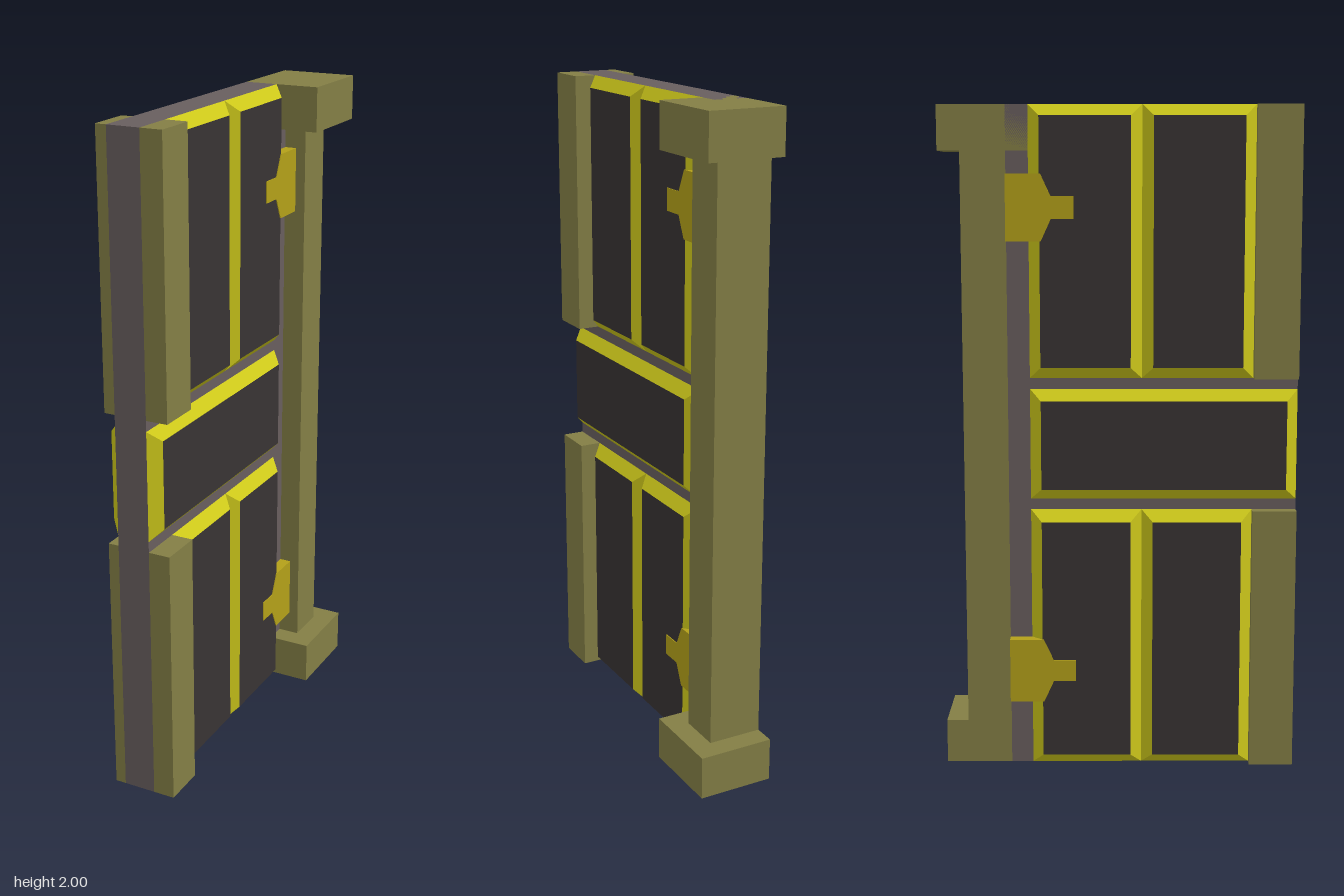
import * as THREE from 'three';

const mat = (color) => new THREE.MeshStandardMaterial({ color, flatShading: true });

export function createModel() {
  const model = new THREE.Group();
  const olive = mat(0x837e45), slate = mat(0x685e5e), dark = mat(0x383333);
  const yellow = mat(0xccc71a), gold = mat(0xb3a019);

  // Box given by its min and max corners
  function box(name, material, [x0, y0, z0], [x1, y1, z1]) {
    const mesh = new THREE.Mesh(new THREE.BoxGeometry(x1 - x0, y1 - y0, z1 - z0), material);
    mesh.position.set((x0 + x1) / 2, (y0 + y1) / 2, (z0 + z1) / 2);
    mesh.name = name;
    model.add(mesh);
  }

  // Raised panel facing local +z: four sloped rim faces around a flat face
  const B = 0.0333;
  function raisedPanel(w, h) {
    const group = new THREE.Group();
    group.name = 'raisedPanel';
    const ring = (inset, z) => [[-1, -1], [1, -1], [1, 1], [-1, 1]]
      .map(([sx, sy]) => [sx * (w / 2 - inset), sy * (h / 2 - inset), z]);
    const outer = ring(0, 0), inner = ring(B, B);
    const pos = [];
    for (let i = 0; i < 4; i++) {
      const j = (i + 1) % 4;
      pos.push(...outer[i], ...outer[j], ...inner[j], ...outer[i], ...inner[j], ...inner[i]);
    }
    const geo = new THREE.BufferGeometry();
    geo.setAttribute('position', new THREE.Float32BufferAttribute(pos, 3));
    geo.computeVertexNormals();
    const rim = new THREE.Mesh(geo, yellow);
    rim.name = 'panelRim';
    const face = new THREE.Mesh(new THREE.PlaneGeometry(w - 2 * B, h - 2 * B), dark);
    face.position.z = B;
    face.name = 'panelFace';
    group.add(rim, face);
    return group;
  }

  // Door slab
  box('doorSlab', slate, [-0.1, 0, -0.333], [0, 2, 0.533]);

  // Hinge post with its end caps
  box('hingePost', olive, [-0.1, 0.133, -0.467], [0.067, 1.867, -0.333]);
  box('postFoot', olive, [-0.1, 0, -0.533], [0.133, 0.133, -0.267]);
  box('postCap', olive, [-0.1, 1.867, -0.533], [0.133, 2, -0.267]);

  // Edge strips on the opening side, above and below the middle panel
  for (const [y0, y1] of [[0, 0.8], [1.2, 2]]) {
    box('edgeStripLeft', olive, [0, y0, 0.4], [0.067, y1, 0.533]);
    box('edgeStripRight', olive, [-0.133, y0, 0.4], [-0.1, y1, 0.533]);
  }

  // Panels as [z0, z1, y0, y1]
  const panels = [[-0.267, 0.533, 0.833, 1.167]];
  for (const y of [0, 1.2]) panels.push([-0.267, 0.067, y, y + 0.8], [0.067, 0.4, y, y + 0.8]);

  // Hinge plate outline as [z, half height]
  const outline = [[-0.333, 0.098], [-0.23, 0.098], [-0.2, 0.033], [-0.133, 0.033]];

  for (const side of [1, -1]) {
    const x = side > 0 ? 0 : -0.1;
    for (const [z0, z1, y0, y1] of panels) {
      const panel = raisedPanel(z1 - z0, y1 - y0);
      panel.rotation.y = side * Math.PI / 2;
      panel.position.set(x, (y0 + y1) / 2, (z0 + z1) / 2);
      model.add(panel);
    }
    const points = [
      ...outline.map(([z, h]) => new THREE.Vector2(-side * z, h)),
      ...outline.slice().reverse().map(([z, h]) => new THREE.Vector2(-side * z, -h)),
    ];
    const plate = new THREE.ExtrudeGeometry(new THREE.Shape(points), { depth: 0.036, bevelEnabled: false });
    for (const y of [0.303, 1.703]) {
      const hinge = new THREE.Mesh(plate, gold);
      hinge.rotation.y = side * Math.PI / 2;
      hinge.position.set(x, y, 0);
      hinge.name = 'hingePlate';
      model.add(hinge);
    }
  }
  return model;
}
